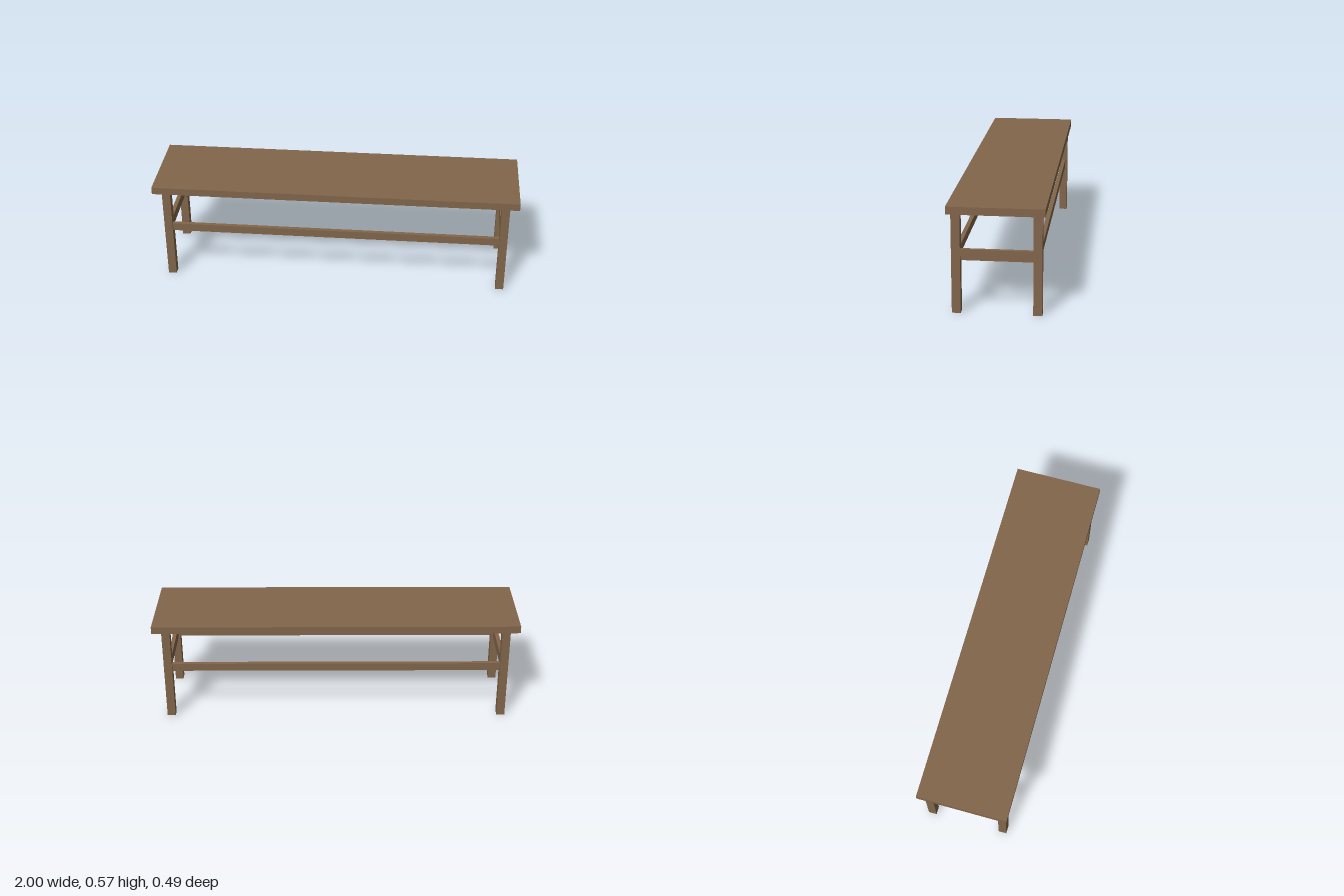
import * as THREE from 'three';

export function createModel() {
  const group = new THREE.Group();
  group.name = 'bench';
  const wood = new THREE.MeshStandardMaterial({ color: 0x82664b });
  wood.name = 'brown wood';

  const addBox = (name, w, h, d, x, y, z) => {
    const mesh = new THREE.Mesh(new THREE.BoxGeometry(w, h, d), wood);
    mesh.name = name;
    mesh.position.set(x, y, z);
    group.add(mesh);
  };

  const seatBottom = 0.53, seatTop = 0.57;
  const leg = 0.045, legX = 0.927, legZ = 0.205;
  const railY = 0.305, railThickness = 0.022;

  // Seat plank
  addBox('seat', 2, seatTop - seatBottom, 0.49, 0, (seatTop + seatBottom) / 2, 0);

  // Four square legs
  for (const [side, sx] of [['Left', 1], ['Right', -1]]) {
    for (const [end, sz] of [['front', 1], ['back', -1]]) {
      addBox(`${end}${side}Leg`, leg, seatBottom, leg, sx * legX, seatBottom / 2, sz * legZ);
    }
    // Taller rail joining the two legs at each end
    addBox(`end${side}Rail`, railThickness, 0.056, 2 * legZ - leg, sx * legX, railY, 0);
  }

  // Long rails along the front and back
  for (const [end, sz] of [['front', 1], ['back', -1]]) {
    addBox(`${end}Rail`, 2 * legX - leg, 0.044, railThickness, 0, railY, sz * legZ);
  }
  return group;
}
